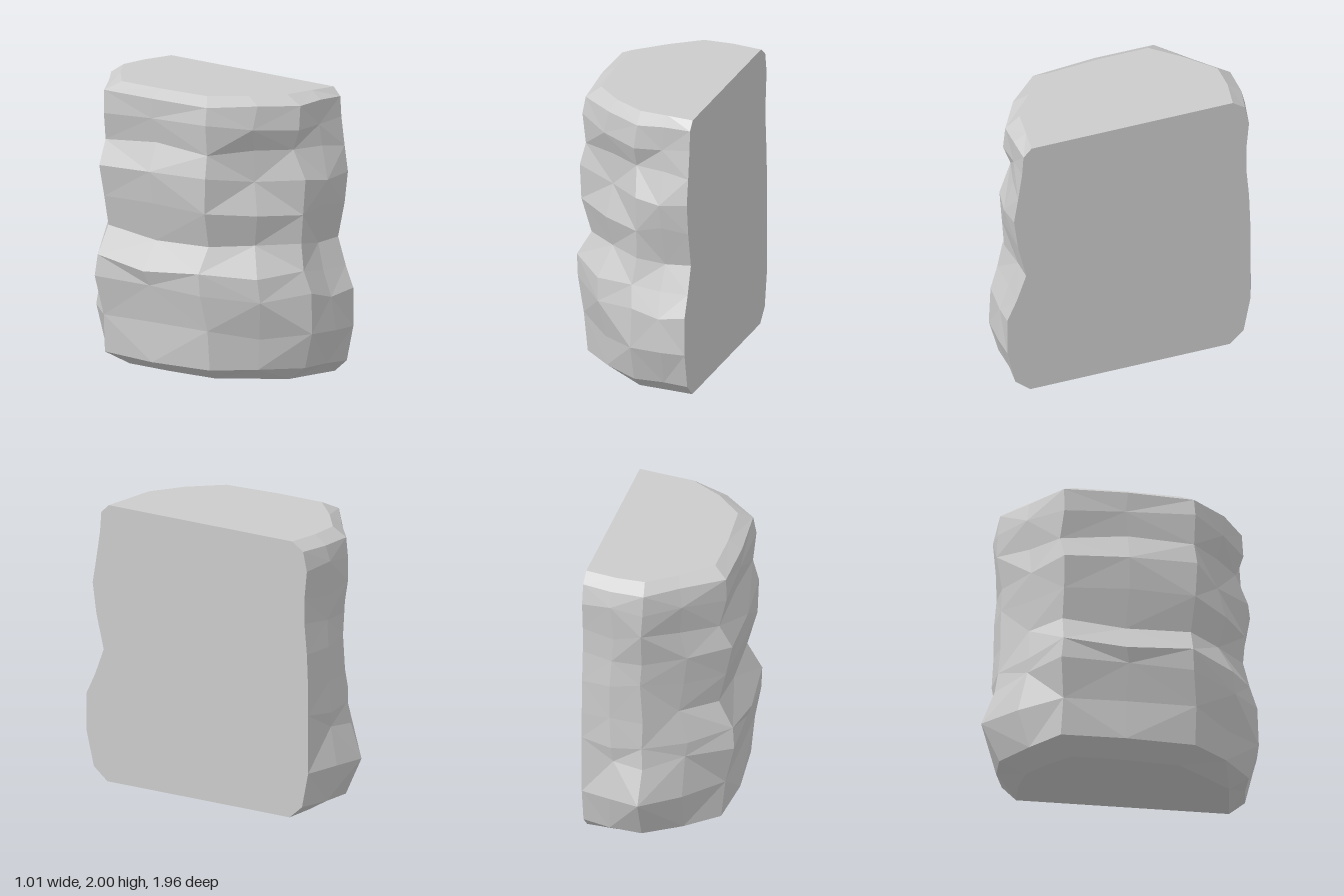
import * as THREE from 'three';

const CUT_X = 0.5;

// Cross-sections from bottom to top:
// y, front z at cut face, front z, front chamfer push, left x, back z, back z at cut face
const LEVELS = [
  [0.00, 0.80, 0.74, -0.02, -0.26, -0.68, -0.68],
  [0.09, 0.91, 0.88, 0.00, -0.41, -0.86, -0.78],
  [0.34, 0.97, 0.93, 0.00, -0.43, -0.98, -0.83],
  [0.61, 0.97, 0.94, 0.02, -0.49, -0.89, -0.83],
  [0.76, 0.90, 0.88, 0.03, -0.50, -0.87, -0.83],
  [0.95, 0.83, 0.82, -0.01, -0.40, -0.86, -0.83],
  [1.20, 0.89, 0.86, -0.01, -0.44, -0.85, -0.82],
  [1.42, 0.92, 0.88, -0.06, -0.47, -0.86, -0.80],
  [1.60, 0.89, 0.80, -0.03, -0.41, -0.87, -0.80],
  [1.80, 0.86, 0.83, 0.01, -0.44, -0.88, -0.82],
  [1.94, 0.85, 0.84, 0.00, -0.42, -0.87, -0.79],
  [2.00, 0.79, 0.72, 0.00, -0.34, -0.76, -0.70],
];

// Seeded numbers from -1 to 1 for the chipped surface
function seeded(seed) {
  return () => {
    seed = (seed * 16807) % 2147483647;
    return (seed / 2147483647) * 2 - 1;
  };
}

// One open outline, running from the front of the cut face round to its back
function outline([y, zCutF, zF, push, xL, zB, zCutB], level, rand) {
  const end = level === 0 || level === LEVELS.length - 1;
  const s = end ? 0.82 : 1;
  const zL = 0.42 * s, zR = -0.5 * s;
  const plan = [
    [CUT_X, zCutF],
    [0.31, (zCutF + zF) / 2],
    [0.1, zF],
    [(0.1 + xL) / 2 - push, (zF + zL) / 2 + 0.03 + push],
    [xL + 0.03, zL],
    [xL, -0.05],
    [xL, zR],
    [(0.07 + xL) / 2, (zB + zR) / 2 - 0.02],
    [0.07, zB],
    [0.28, (zB + zCutB) / 2 - 0.02],
    [CUT_X, zCutB],
  ];
  return plan.map(([x, z], j) => {
    const onCut = j === 0 || j === plan.length - 1;
    const k = end || onCut ? 0 : 0.018;
    const dy = level === 1 || level === LEVELS.length - 2 ? 0.5 : 2;
    return new THREE.Vector3(x + rand() * k, y + rand() * k * dy, z + rand() * k);
  });
}

function meshFrom(name, triangles, material) {
  const geometry = new THREE.BufferGeometry().setFromPoints(triangles);
  geometry.computeVertexNormals();
  const mesh = new THREE.Mesh(geometry, material);
  mesh.name = name;
  return mesh;
}

export function createModel() {
  const rand = seeded(4217);
  const rings = LEVELS.map((level, i) => outline(level, i, rand));
  const last = rings[0].length - 1;
  const top = rings.length - 1;
  const rough = [], cut = [], topCap = [], bottomCap = [];

  for (let i = 0; i < top; i++) {
    const lo = rings[i], hi = rings[i + 1];
    // Chipped sides, with alternating diagonals
    for (let j = 0; j < last; j++) {
      const a = lo[j], b = lo[j + 1], c = hi[j], d = hi[j + 1];
      if ((i + j) % 2) rough.push(a, c, b, b, c, d);
      else rough.push(a, d, b, a, c, d);
    }
    // Flat cut side
    cut.push(lo[0], lo[last], hi[last], lo[0], hi[last], hi[0]);
  }

  // Flat ends
  const fan = (ring, y, out, up) => {
    const centre = new THREE.Vector3(0.15, y, 0);
    ring.forEach((p, j) => {
      const q = ring[(j + 1) % ring.length];
      out.push(centre, up ? q : p, up ? p : q);
    });
  };
  fan(rings[top], 2, topCap, true);
  fan(rings[0], 0, bottomCap, false);

  const stone = new THREE.MeshStandardMaterial({ color: 0xcccccc, flatShading: true });
  const smooth = new THREE.MeshStandardMaterial({ color: 0xcccccc });
  const group = new THREE.Group();
  group.name = 'rockSlab';
  group.add(
    meshFrom('chippedSides', rough, stone),
    meshFrom('cutFace', cut, smooth),
    meshFrom('topFace', topCap, stone),
    meshFrom('bottomFace', bottomCap, stone),
  );
  return group;
}
